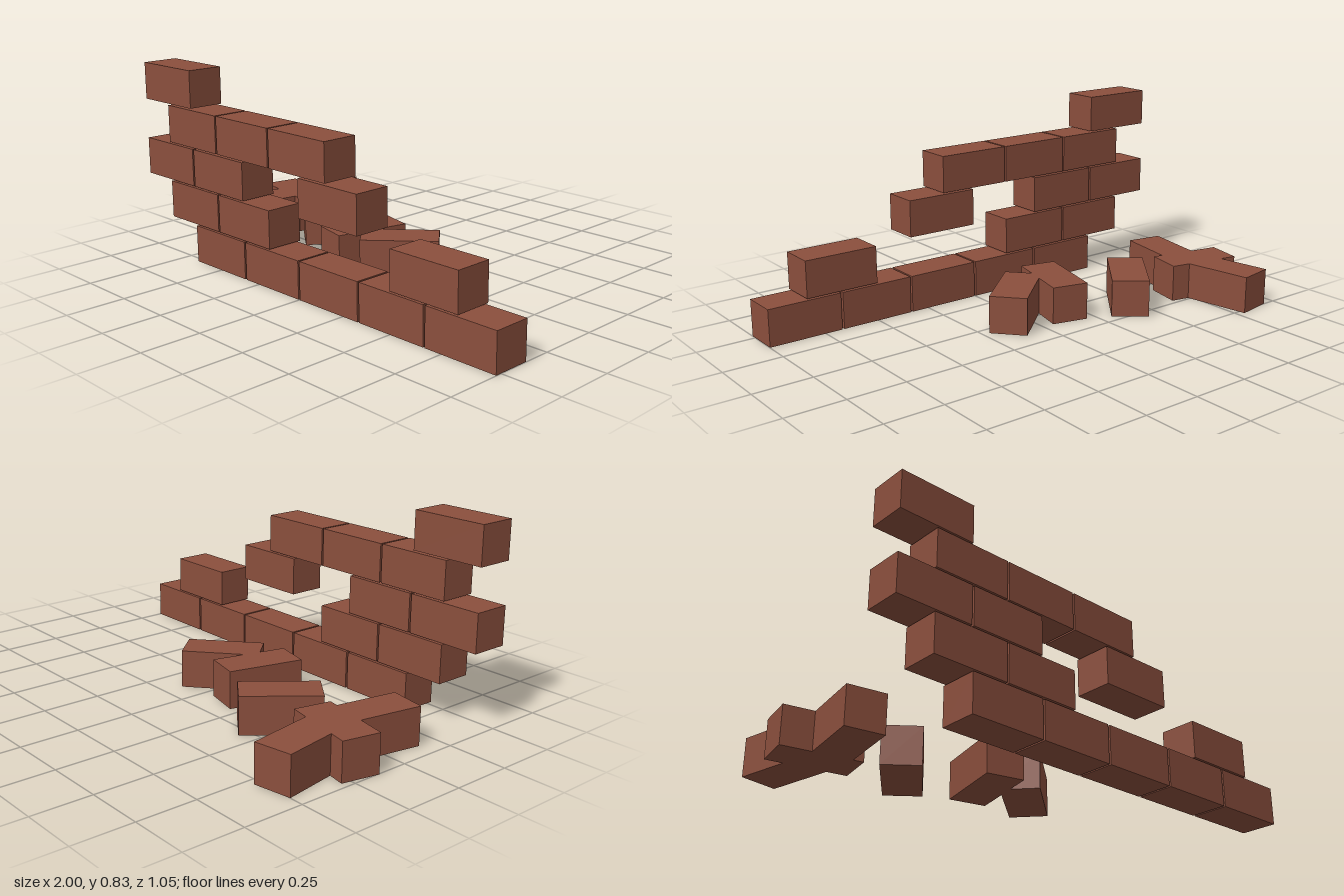
import * as THREE from 'three';

const LENGTH = 0.326, HEIGHT = 0.16, DEPTH = 0.159;
const PITCH_X = 0.3346, PITCH_Y = 0.167, WALL_Z = 0.445;

export function createModel() {
  const model = new THREE.Group();
  model.name = 'ruinedBrickWall';
  const clay = new THREE.MeshStandardMaterial({ color: 0x8b4f3d });
  clay.name = 'red clay';
  const brickShape = new THREE.BoxGeometry(LENGTH, HEIGHT, DEPTH);

  function addBrick(parent, name, x, y, z, degrees = 0) {
    const brick = new THREE.Mesh(brickShape, clay);
    brick.name = name;
    brick.position.set(x, y, z);
    brick.rotation.y = THREE.MathUtils.degToRad(degrees);
    parent.add(brick);
  }

  // Standing wall: surviving brick slots in each course, bottom to top
  const wall = new THREE.Group();
  wall.name = 'wall';
  const courses = [[1, 2, 3, 4, 5], [0, 1, 4], [0, 1, 3], [0, 1, 2], [0]];
  courses.forEach((slots, row) => {
    // Odd courses are shifted by half a brick
    const start = row % 2 ? -0.673 : -0.837;
    const pitch = row % 2 ? 0.334 : PITCH_X;
    for (const slot of slots) {
      addBrick(wall, `wallBrick${row + 1}_${slot + 1}`,
        start + slot * pitch, HEIGHT / 2 + row * PITCH_Y, WALL_Z);
    }
  });

  // Fallen bricks lying behind the wall: x, z, turn in degrees
  const rubble = new THREE.Group();
  rubble.name = 'fallenBricks';
  [
    [-0.834, -0.353, -80],
    [-0.822, 0.011, 80],
    [-0.828, -0.179, -11.5],
    [-0.468, -0.127, 52],
    [-0.167, 0.016, 76.4],
    [0.045, 0.006, 41.3],
  ].forEach(([x, z, turn], i) =>
    addBrick(rubble, `fallenBrick${i + 1}`, x, HEIGHT / 2, z, turn));

  model.add(wall, rubble);
  return model;
}
